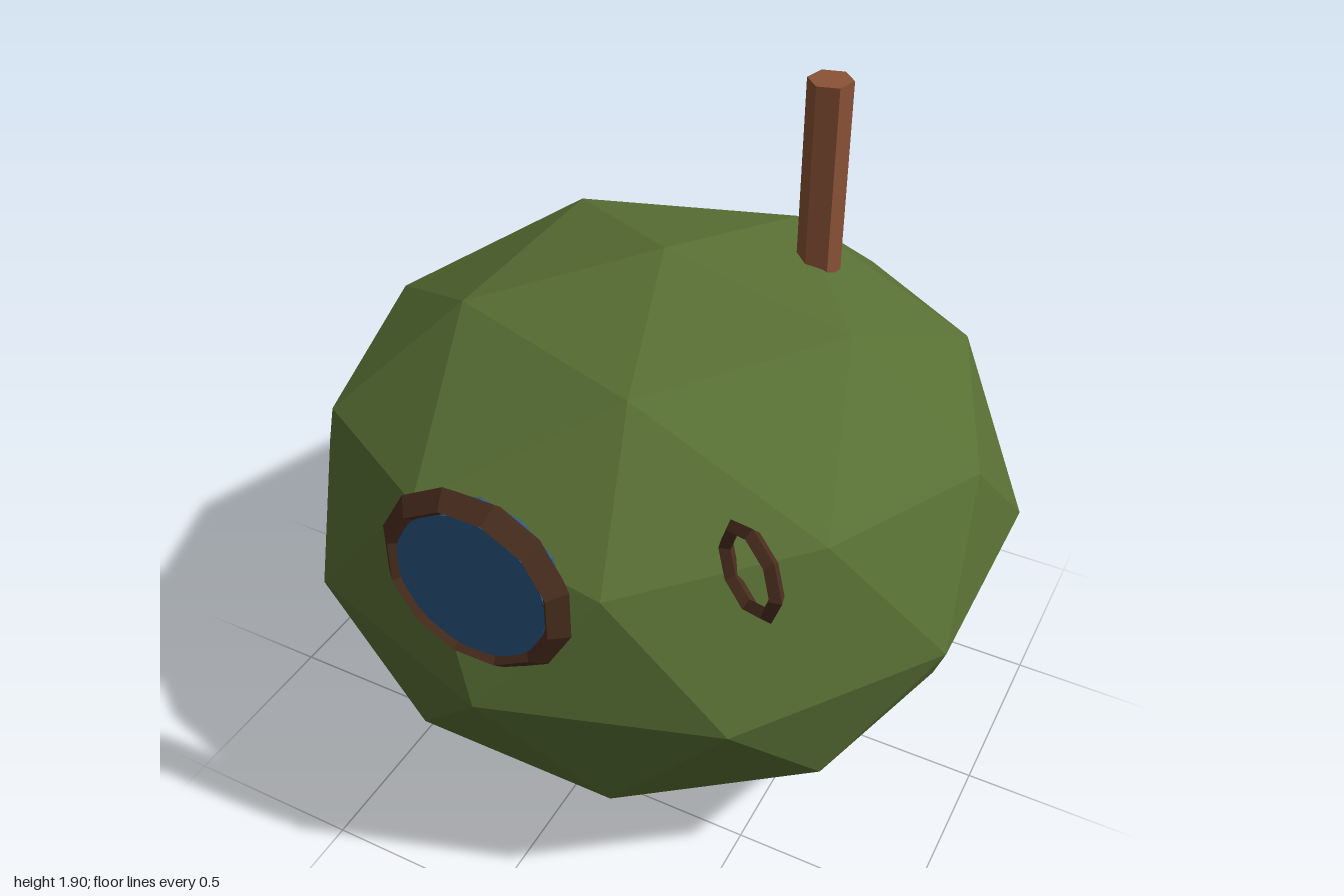
import * as THREE from 'three';

const paint = (name, color) => {
  const m = new THREE.MeshStandardMaterial({ color, flatShading: true });
  m.name = name;
  return m;
};

export function createModel() {
  const green = paint('hull green', 0x586f34);
  const wood = paint('mast wood', 0x8b5236);
  const darkWood = paint('dark wood', 0x4a2e1f);
  const blue = paint('glass blue', 0x2c5a86);

  const model = new THREE.Group();
  const add = (name, geometry, material, x, y, z, turn = 0) => {
    const mesh = new THREE.Mesh(geometry, material);
    mesh.name = name;
    mesh.position.set(x, y, z);
    mesh.rotation.y = turn;
    model.add(mesh);
  };

  // Squashed faceted ball, one icosahedron corner turned straight up
  const ball = new THREE.IcosahedronGeometry(1, 1);
  ball.rotateZ(-Math.atan(2 / (1 + Math.sqrt(5))));
  ball.scale(1, 0.75, 1);
  ball.computeVertexNormals();
  add('body', ball, green, 0, 0.75, 0);

  // Six-sided post on top
  const base = 1.365, tip = 1.905;
  add('post', new THREE.CylinderGeometry(0.06, 0.06, tip - base, 6), wood,
    0.306, (base + tip) / 2, -0.308, Math.PI / 4);

  // Round window: diamond-section frame around a glass disc
  const frame = new THREE.TorusGeometry(0.219, 0.04, 4, 12);
  frame.rotateZ(Math.PI / 12);
  add('windowFrame', frame, darkWood, 0, 1.108, 0.937);
  const glass = new THREE.CylinderGeometry(0.207, 0.207, 0.078, 12);
  glass.rotateX(Math.PI / 2);
  add('windowGlass', glass, blue, 0, 1.108, 0.924);

  // Small ring standing out of the side
  add('sideRing', new THREE.TorusGeometry(0.105, 0.02, 4, 8), darkWood,
    0.576, 1.178, 0.69, -0.56);

  return model;
}
